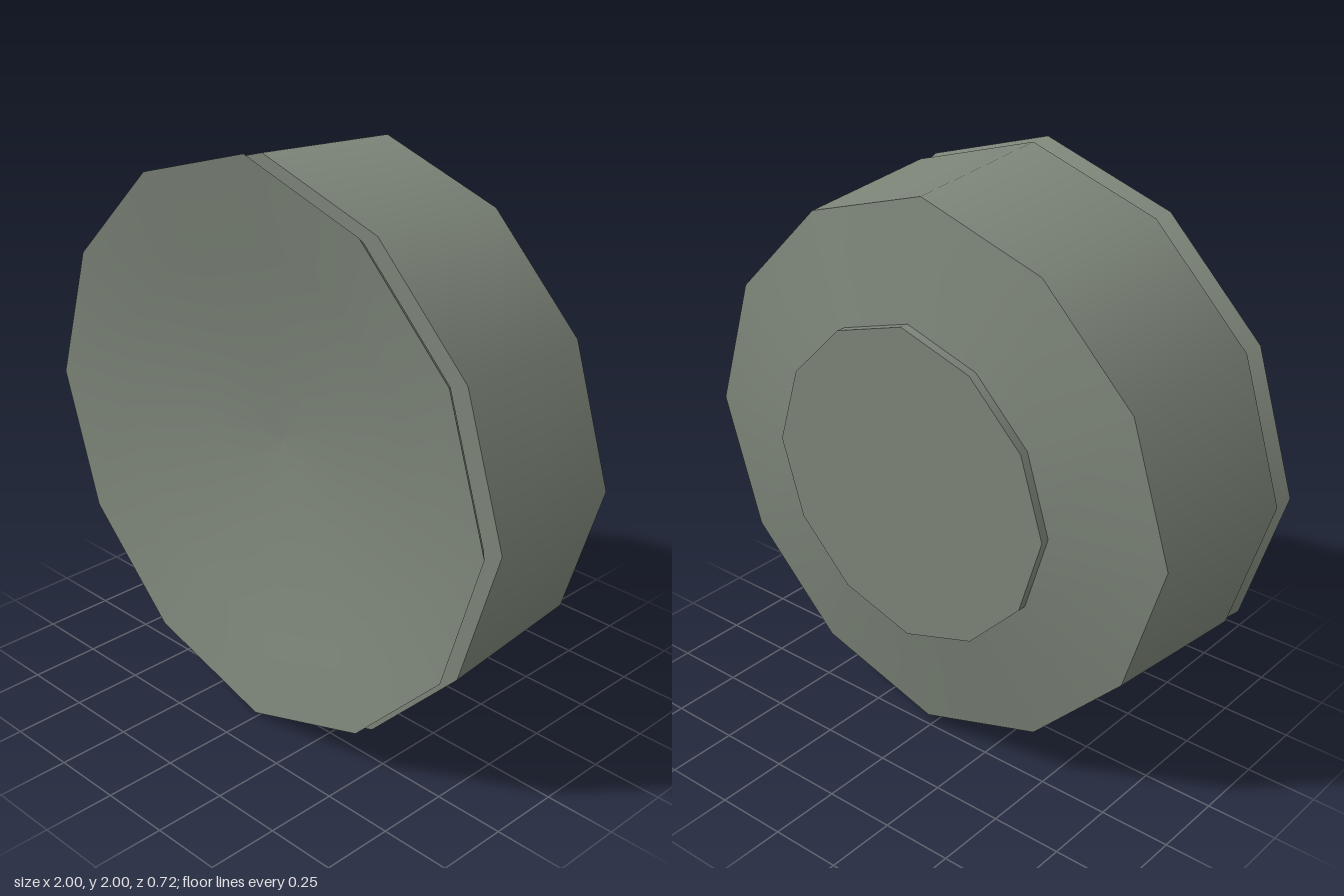
import * as THREE from 'three';

const SIDES = 12;

// Twelve-sided ring surface around z; profile is [radius, z] pairs.
function ringSurface(profile) {
  const geo = new THREE.LatheGeometry(profile.map(([r, z]) => new THREE.Vector2(r, z)), SIDES);
  geo.rotateX(Math.PI / 2);
  // Corners between the four axis corners sit slightly further in
  const p = geo.attributes.position;
  for (let i = 0; i < p.count; i++) {
    const x = p.getX(i), y = p.getY(i);
    if (Math.min(Math.abs(x), Math.abs(y)) > 1e-4) p.setXY(i, x * 0.978, y * 0.978);
  }
  return geo;
}

export function createModel() {
  const model = new THREE.Group();
  const metal = new THREE.MeshStandardMaterial({ color: 0x7c8478 });
  metal.name = 'grey green';

  // Each profile is smooth in itself, with a sharp edge to the next
  function part(name, x, y, profiles) {
    const group = new THREE.Group();
    group.name = name;
    group.position.set(x, y, 0);
    profiles.forEach((profile, i) => {
      const mesh = new THREE.Mesh(ringSurface(profile), metal);
      mesh.name = name + 'Surface' + (i + 1);
      group.add(mesh);
    });
    model.add(group);
  }

  // Round hub on the back
  part('backHub', 0, 1, [
    [[0, -0.36], [0.56, -0.36]],
    [[0.56, -0.36], [0.56, -0.325]],
  ]);

  // Tapered drum with a sloping back shoulder and a front lip
  part('drum', 0.004, 0.998, [
    [[0.53, -0.335], [0.952, -0.255]],
    [[0.952, -0.255], [0.995, 0.295]],
    [[0.995, 0.295], [0.76, 0.295]],
  ]);

  // Shallow front dish with a flared rim
  part('frontDish', -0.006, 1.007, [
    [[0.74, 0.28], [0.955, 0.318]],
    [[0.955, 0.318], [0.993, 0.36]],
    [[0.993, 0.36], [0.7, 0.305], [0.35, 0.235], [0, 0.215]],
  ]);

  return model;
}
